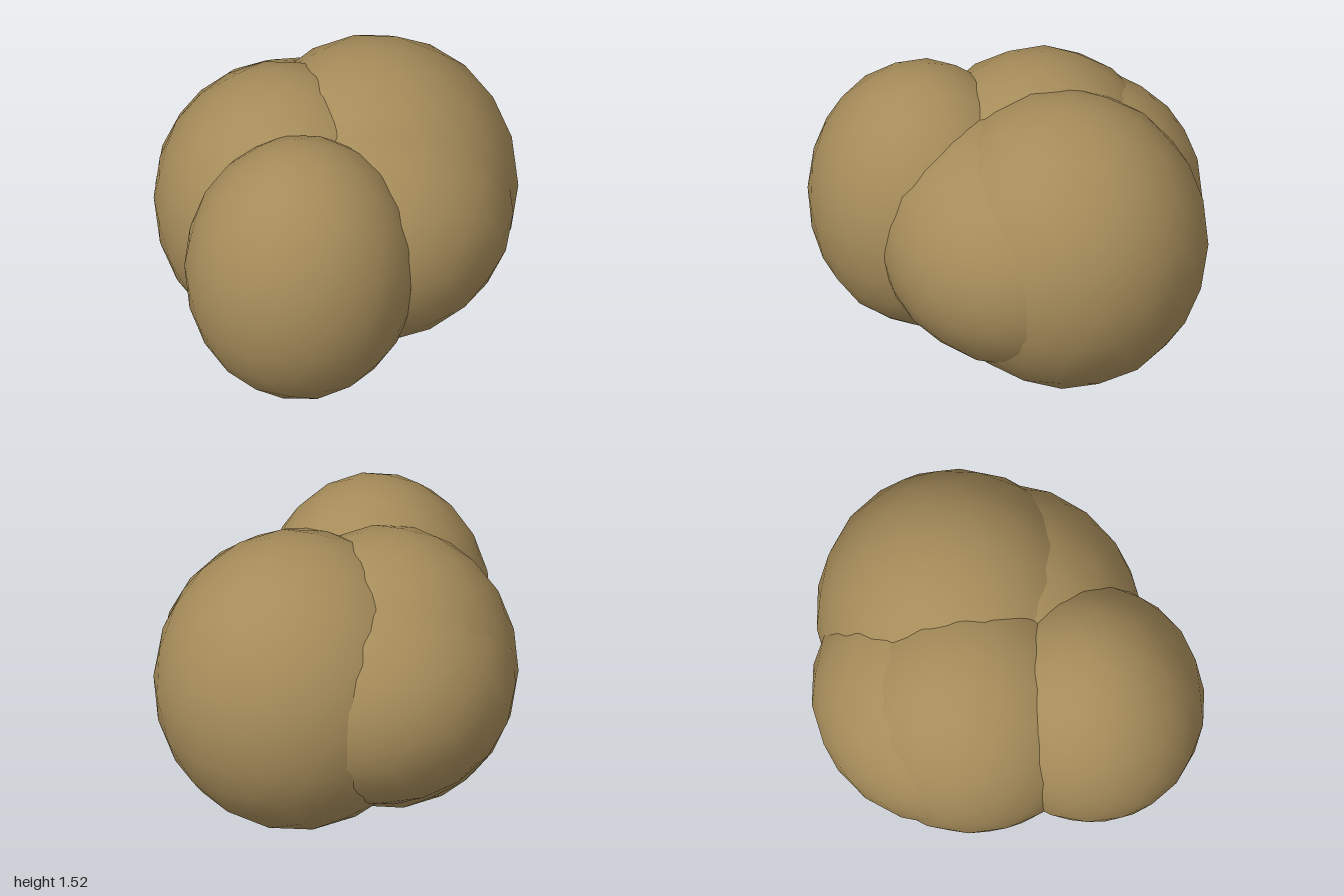
import * as THREE from 'three';

// Cluster of overlapping rounded lobes: name, centre, radii
const LOBES = [
  ['leftFrontLobe', [-0.42, 0.77, 0.35], [0.58, 0.70, 0.57]],
  ['mainLobe', [0.28, 0.76, -0.04], [0.72, 0.76, 0.70]],
  ['frontLobe', [0.13, 0.76, 0.15], [0.72, 0.62, 0.68]],
  ['backLeftLobe', [-0.17, 0.76, -0.17], [0.64, 0.72, 0.65]],
  ['backLobe', [-0.06, 0.76, -0.25], [0.68, 0.61, 0.68]],
];

export function createModel() {
  const group = new THREE.Group();
  group.name = 'lobeCluster';

  const tan = new THREE.MeshStandardMaterial({ color: 0xa68c5a });
  tan.name = 'tan';

  for (const [name, centre, radii] of LOBES) {
    // Smooth-shaded icosphere, turned so a corner points straight up
    const geometry = new THREE.IcosahedronGeometry(1, 3);
    geometry.rotateZ(-0.5536);
    geometry.scale(...radii);
    const lobe = new THREE.Mesh(geometry, tan);
    lobe.name = name;
    lobe.position.set(...centre);
    group.add(lobe);
  }
  return group;
}
